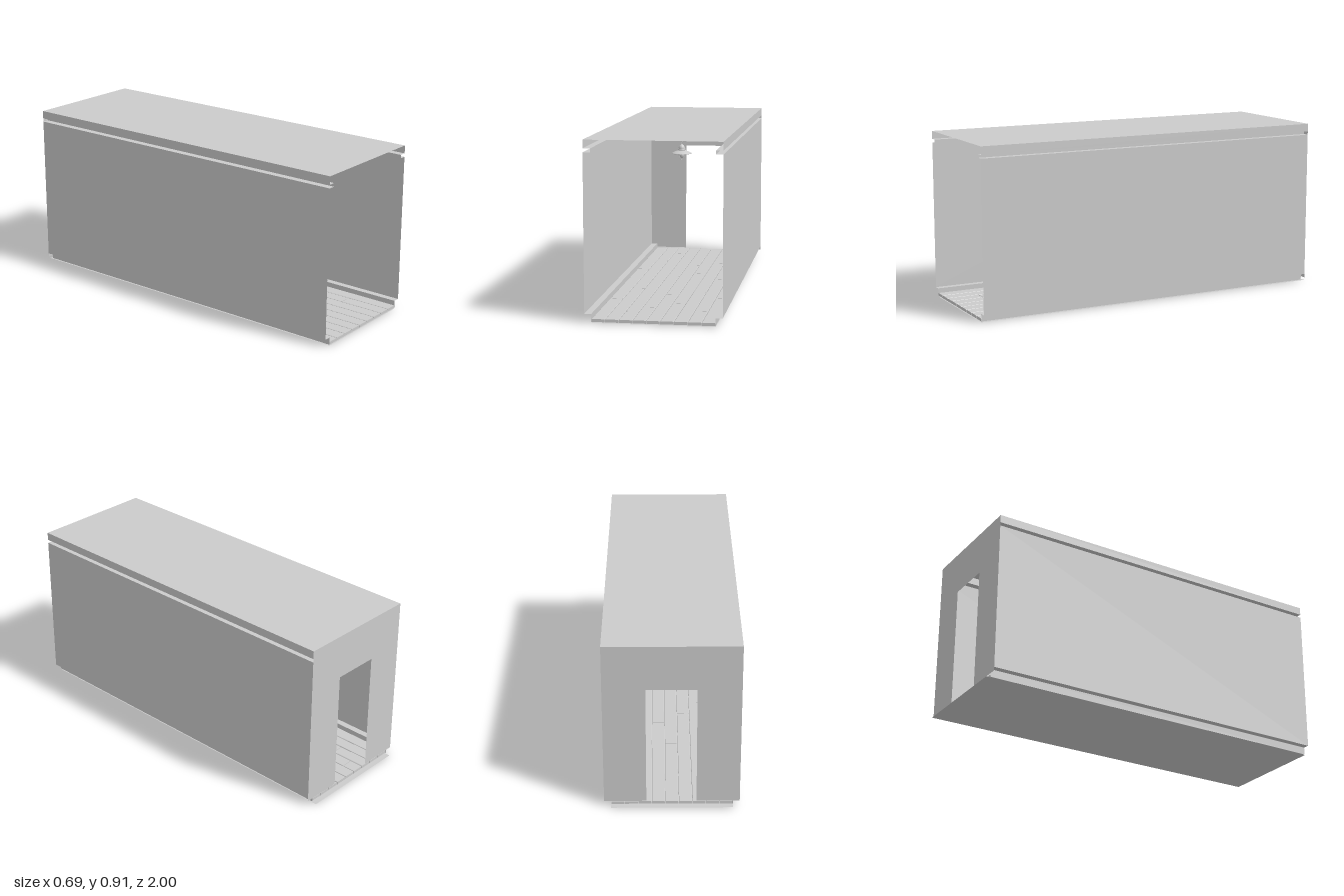
import * as THREE from 'three';

const FRONT = 1, BACK = -0.975;
const HALF = 0.345, INNER = 0.308, TOP = 0.91;

const grey = new THREE.MeshStandardMaterial({ color: 0xcccccc, side: THREE.DoubleSide });

function add(parent, name, geometry, x = 0, y = 0, z = 0) {
  const mesh = new THREE.Mesh(geometry, grey);
  mesh.name = name;
  mesh.position.set(x, y, z);
  parent.add(mesh);
  return mesh;
}

// Thin folded sheet: an (x, y) profile swept along z with hard folds
function sheet(profile, z0, z1) {
  const pos = [];
  for (let i = 0; i < profile.length - 1; i++) {
    const [ax, ay] = profile[i], [bx, by] = profile[i + 1];
    pos.push(ax, ay, z0, bx, by, z0, bx, by, z1, ax, ay, z0, bx, by, z1, ax, ay, z1);
  }
  const g = new THREE.BufferGeometry();
  g.setAttribute('position', new THREE.Float32BufferAttribute(pos, 3));
  g.computeVertexNormals();
  return g;
}

// Side wall with a groove below the ceiling and a step above the floor
function buildWalls(group) {
  for (const s of [1, -1]) {
    const profile = [
      [HALF, TOP], [HALF, 0.867], [INNER, 0.867], [INNER, 0.848],
      [HALF, 0.848], [HALF, 0.045], [INNER + 0.002, 0.045], [INNER + 0.002, 0.005],
    ].map(([x, y]) => [x * s, y]);
    add(group, s > 0 ? 'leftWall' : 'rightWall', sheet(profile, BACK, FRONT));
  }
  add(group, 'ceiling', sheet([[-HALF, TOP], [HALF, TOP]], BACK, FRONT));

  // Back wall with the doorway cut up from its lower edge
  const wall = new THREE.Shape();
  [[-HALF, 0.025], [-0.125, 0.025], [-0.125, 0.672], [0.13, 0.672],
    [0.13, 0.025], [HALF, 0.025], [HALF, TOP], [-HALF, TOP]]
    .forEach(([x, y], i) => (i ? wall.lineTo(x, y) : wall.moveTo(x, y)));
  add(group, 'backWall', new THREE.ShapeGeometry(wall), 0, 0, BACK);
  add(group, 'backMoulding', new THREE.BoxGeometry(INNER * 2, 0.019, 0.035), 0, 0.8575, BACK + 0.0185);
}

// Nine rows of boards with staggered end joints over a thin base
function buildFloor(group) {
  const floor = new THREE.Group();
  floor.name = 'floor';
  group.add(floor);
  add(floor, 'floorBase', sheet([[-0.31, 0], [0.31, 0]], -1, 1));

  const rows = 9, pitch = 0.62 / rows, gap = 0.003, c = 0.002;
  const w = (pitch - gap) / 2, y0 = 0.005, y1 = 0.02;
  const section = new THREE.Shape();
  [[-w, y0], [w, y0], [w, y1 - c], [w - c, y1], [-w + c, y1], [-w, y1 - c]]
    .forEach(([x, y], i) => (i ? section.lineTo(x, y) : section.moveTo(x, y)));
  const firstLengths = [0.48, 0.75, 0.18, 0.3, 0.62, 0.4, 0.7, 0.25, 0.55];
  firstLengths.forEach((first, row) => {
    const x = -0.31 + (row + 0.5) * pitch;
    let end = FRONT, length = first;
    while (end > BACK + 0.01) {
      const start = Math.max(BACK, end - length);
      const g = new THREE.ExtrudeGeometry(section, { depth: end - start - gap, bevelEnabled: false });
      add(floor, 'floorBoard', g, x, 0, start + gap);
      end = start;
      length = 0.8;
    }
  });
}

function lathe(points, segments = 32) {
  return new THREE.LatheGeometry(points.map(([r, y]) => new THREE.Vector2(r, y)), segments);
}

// Hanging lamp: ceiling plate, rod, hook, chain, shade, glass and cage
function buildLamp(group) {
  const lamp = new THREE.Group();
  lamp.name = 'lamp';
  lamp.position.set(-0.007, 0, 0);
  group.add(lamp);

  add(lamp, 'ceilingPlate', new THREE.CylinderGeometry(0.025, 0.025, 0.008, 32), 0, 0.905, 0);
  add(lamp, 'rod', new THREE.CylinderGeometry(0.0035, 0.002, 0.055, 12), 0, 0.8735, 0);
  add(lamp, 'rodCollar', lathe([[0, 0.848], [0.009, 0.846], [0.009, 0.843], [0.004, 0.84],
    [0.004, 0.828], [0, 0.825]], 20));

  for (let i = 0; i < 6; i++) {
    const link = add(lamp, 'chainLink', new THREE.TorusGeometry(0.003, 0.0008, 6, 12), 0, 0.822 - i * 0.0065, 0);
    link.scale.y = 1.4;
    link.rotation.y = (i % 2) * Math.PI / 2;
  }

  add(lamp, 'cap', lathe([[0, 0.787], [0.005, 0.786], [0.006, 0.782], [0.012, 0.779],
    [0.016, 0.773], [0.018, 0.765], [0.018, 0.757]]));
  add(lamp, 'capRing', lathe([[0.018, 0.761], [0.021, 0.759], [0.021, 0.754], [0.018, 0.752], [0.018, 0.748]]));
  add(lamp, 'shade', lathe([[0.018, 0.753], [0.026, 0.75], [0.036, 0.746], [0.046, 0.741],
    [0.054, 0.737], [0.055, 0.734], [0.053, 0.734], [0.036, 0.742], [0.018, 0.747]], 40));

  const bulb = add(lamp, 'glass', new THREE.SphereGeometry(0.012, 20, 14), 0, 0.727, 0);
  bulb.scale.y = 1.5;

  // Cage wires cross below the glass
  const loop = new THREE.CatmullRomCurve3([[-0.017, 0.745], [-0.017, 0.728], [-0.013, 0.71], [0, 0.7],
    [0.013, 0.71], [0.017, 0.728], [0.017, 0.745]].map(([x, y]) => new THREE.Vector3(x, y, 0)));
  for (let i = 0; i < 2; i++) {
    add(lamp, 'cageWire', new THREE.TubeGeometry(loop, 28, 0.0011, 6)).rotation.y = i * Math.PI / 2;
  }
  add(lamp, 'cageRing', new THREE.TorusGeometry(0.017, 0.0011, 6, 28), 0, 0.728, 0).rotation.x = Math.PI / 2;
}

export function createModel() {
  const model = new THREE.Group();
  model.name = 'corridor';
  buildWalls(model);
  buildFloor(model);
  buildLamp(model);
  return model;
}
